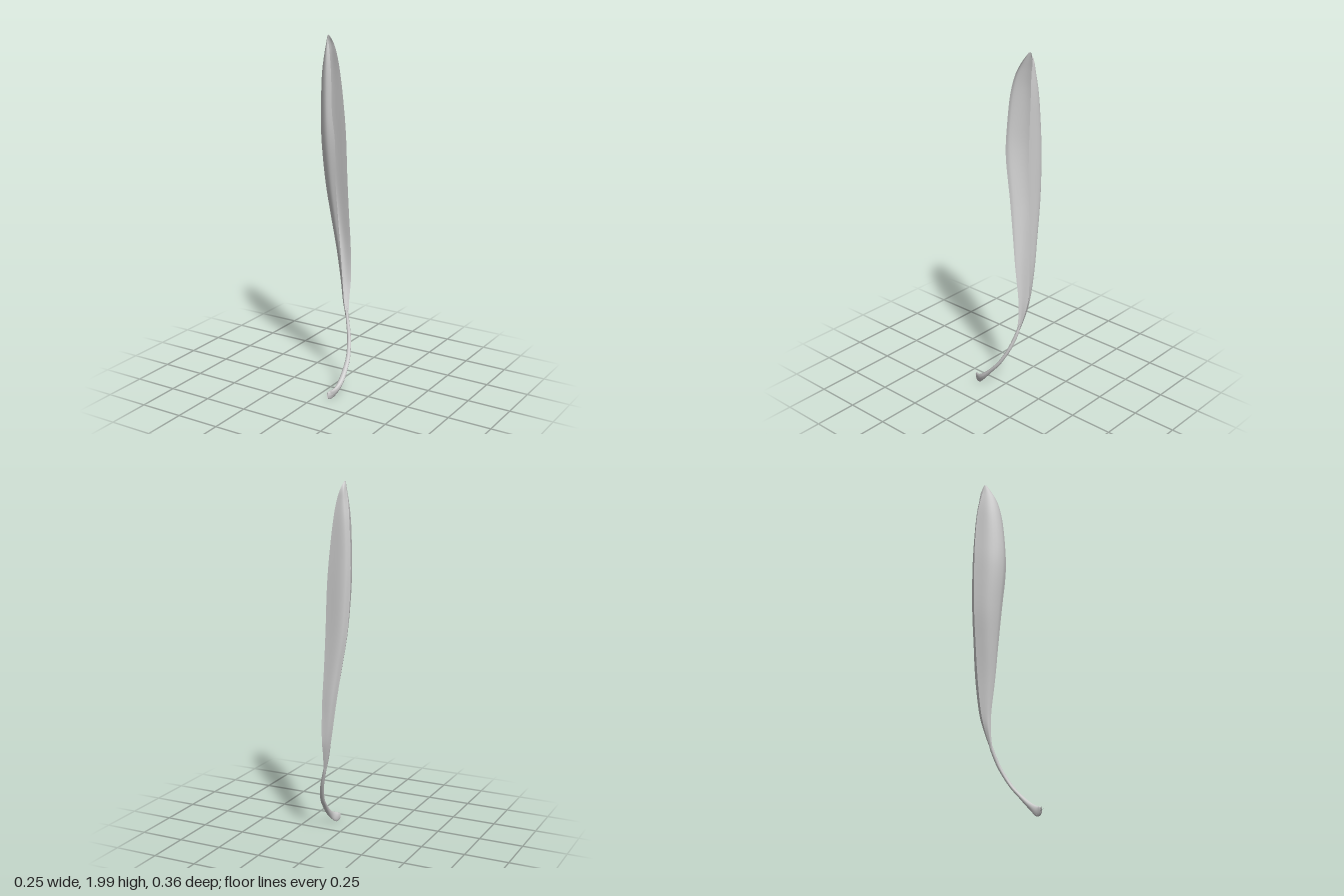
import * as THREE from 'three';

const mat = () => new THREE.MeshStandardMaterial({ color: 0xcccccc, side: THREE.DoubleSide });

// Indexed surface from rows of equally many points
function loft(rows, name) {
  const n = rows[0].length, index = [];
  for (let i = 0; i < rows.length - 1; i++) {
    for (let j = 0; j < n - 1; j++) {
      const a = i * n + j, b = a + n;
      index.push(a, b, a + 1, a + 1, b, b + 1);
    }
  }
  const geo = new THREE.BufferGeometry().setFromPoints(rows.flat());
  geo.setIndex(index);
  geo.computeVertexNormals();
  const mesh = new THREE.Mesh(geo, mat());
  mesh.name = name;
  return mesh;
}

// Front wing levels: y, then x,z of edge, outer bulge, inner bulge, keel
const frontLevels = [
  [2.0, -.076, -.09, -.077, -.093, -.079, -.097, -.08, -.10],
  [1.96, -.055, -.07, -.066, -.07, -.08, -.085, -.087, -.105],
  [1.9, -.032, -.045, -.055, -.043, -.083, -.07, -.10, -.112],
  [1.8, -.012, -.025, -.045, -.02, -.09, -.058, -.113, -.125],
  [1.6, .003, -.01, -.035, -.002, -.092, -.05, -.125, -.132],
  [1.45, .018, -.015, -.03, -.004, -.09, -.05, -.125, -.135],
  [1.2, .01, -.037, -.025, -.033, -.077, -.07, -.111, -.142],
  [1.0, .012, -.06, -.012, -.059, -.05, -.085, -.081, -.15],
  [.8, .015, -.082, .003, -.084, -.022, -.102, -.05, -.155],
  [.6, .015, -.107, .008, -.11, -.003, -.119, -.019, -.15],
  [.5, .02, -.112, .014, -.115, .008, -.12, .004, -.138],
  [.4, .034, -.11, .032, -.112, .031, -.115, .03, -.118],
];

// Back wing points x,z at the same levels: bulge, edge
const backPoints = [
  [-.078, -.104, -.076, -.108], [-.08, -.124, -.062, -.128], [-.083, -.134, -.045, -.136],
  [-.092, -.145, -.03, -.146], [-.102, -.155, -.01, -.156], [-.102, -.162, 0, -.161],
  [-.088, -.17, .005, -.17], [-.06, -.177, .01, -.18], [-.032, -.182, .018, -.188],
  [-.005, -.17, .022, -.184], [.014, -.15, .028, -.158], [.035, -.122, .042, -.126],
];
const backLevels = frontLevels.map((l, i) => [l[0], l[7], l[8], ...backPoints[i]]);

// One wing of the folded blade, lofted through its columns of points
function wing(levels, name) {
  const guides = [];
  for (let c = 1; c < levels[0].length; c += 2) {
    guides.push(new THREE.CatmullRomCurve3(levels.map(l => new THREE.Vector3(l[c], l[0], l[c + 1]))));
  }
  const rows = [];
  for (let i = 0; i <= 66; i++) {
    rows.push(new THREE.CatmullRomCurve3(guides.map(g => g.getPoint(i / 66))).getPoints(12));
  }
  return loft(rows, name);
}

// Curved stalk: x, y, z, half width across, half thickness
const stalkPath = [
  [.027, .46, -.128, .003, .005], [.038, .41, -.119, .008, .010],
  [.052, .36, -.106, .010, .010], [.071, .3, -.086, .011, .010],
  [.097, .2, -.032, .013, .010], [.106, .14, .018, .015, .011],
  [.109, .09, .065, .016, .015], [.104, .055, .105, .012, .021],
  [.089, .035, .138, .009, .028], [.08, .035, .16, .005, .018],
];

function stalk() {
  const curve = new THREE.CatmullRomCurve3(stalkPath.map(p => new THREE.Vector3(p[0], p[1], p[2])));
  const sizes = new THREE.CatmullRomCurve3(stalkPath.map(p => new THREE.Vector3(p[3], p[4], 0)));
  const rows = [];
  for (let i = 0; i <= 36; i++) {
    const t = i / 36, c = curve.getPoint(t), s = sizes.getPoint(t), dir = curve.getTangent(t);
    const up = new THREE.Vector3(1, 0, 0).cross(dir).normalize();
    const across = dir.clone().cross(up);
    const ring = [];
    for (let j = 0; j <= 12; j++) {
      const a = j / 12 * Math.PI * 2;
      ring.push(c.clone().addScaledVector(across, Math.cos(a) * s.x).addScaledVector(up, Math.sin(a) * s.y));
    }
    rows.push(ring);
  }
  return loft(rows, 'stalk');
}

// Short torn fibres at the foot of the stalk
function fibres() {
  const group = new THREE.Group();
  group.name = 'tornFibres';
  for (let i = 0; i < 5; i++) {
    const from = new THREE.Vector3(.086, .016 + i * .008, .13 + i * .004);
    const to = new THREE.Vector3(.084 - (i % 3) * .005, .01 + i * .011, .152 + (i % 2) * .01 + i * .004);
    const mesh = new THREE.Mesh(new THREE.ConeGeometry(.004, from.distanceTo(to), 5), mat());
    mesh.position.copy(from).lerp(to, .5);
    mesh.quaternion.setFromUnitVectors(new THREE.Vector3(0, 1, 0), to.sub(from).normalize());
    mesh.name = 'fibre';
    group.add(mesh);
  }
  return group;
}

export function createModel() {
  const model = new THREE.Group();
  model.name = 'foldedLeaf';
  model.add(wing(frontLevels, 'frontWing'), wing(backLevels, 'backWing'), stalk(), fibres());
  return model;
}
